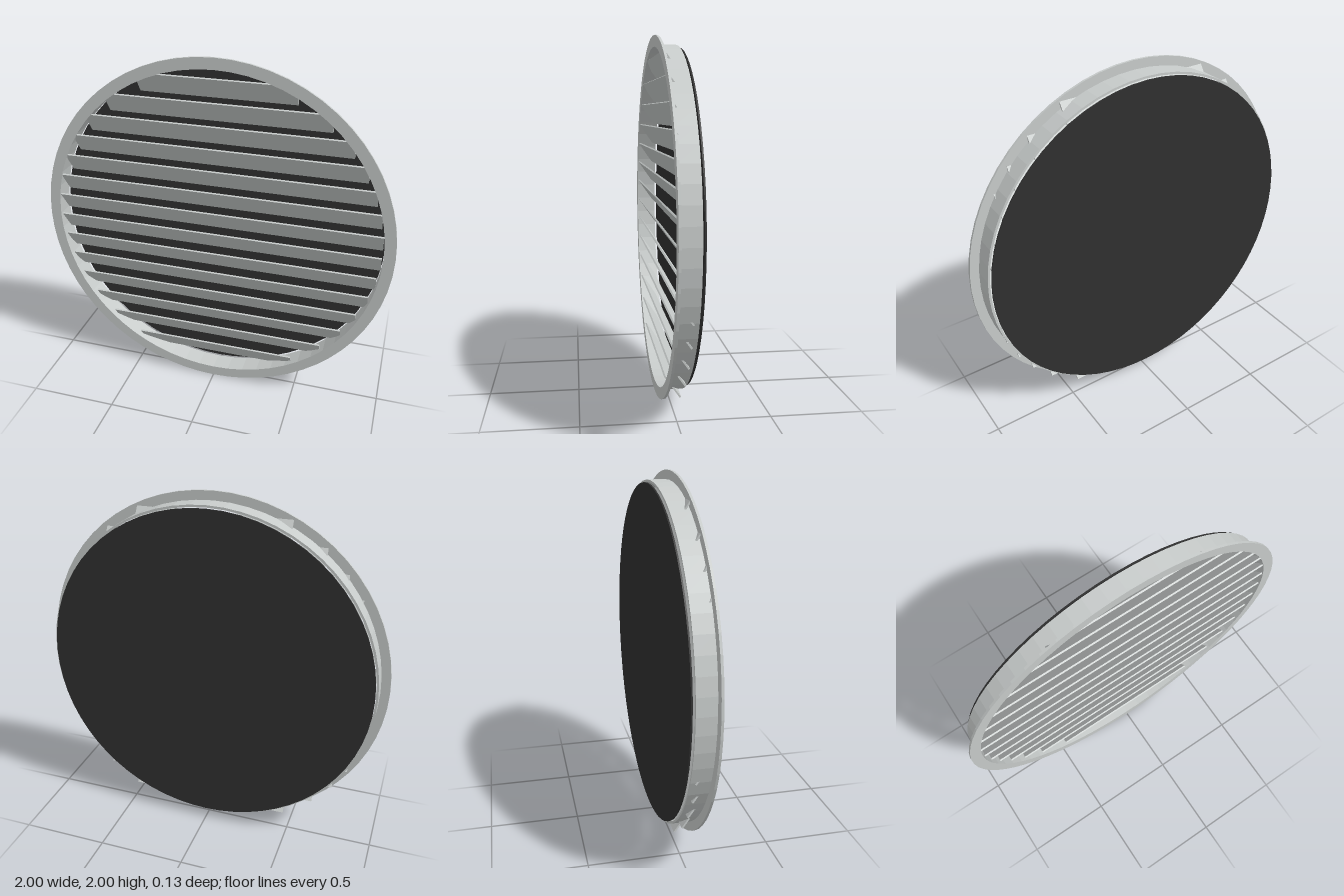
import * as THREE from 'three';

export function createModel() {
  const group = new THREE.Group();
  const aluminium = new THREE.MeshStandardMaterial({ color: 0xc8cccb });
  aluminium.name = 'aluminium';
  const blackMesh = new THREE.MeshStandardMaterial({ color: 0x303030 });
  blackMesh.name = 'black mesh';
  const centreY = 1;

  function add(name, geometry, material, y, z) {
    const mesh = new THREE.Mesh(geometry, material);
    mesh.name = name;
    mesh.position.set(0, y, z);
    group.add(mesh);
    return mesh;
  }

  // Flat ring extruded along z from z = 0 to depth
  function ring(outer, inner, depth) {
    const shape = new THREE.Shape().absarc(0, 0, outer, 0, Math.PI * 2);
    shape.holes.push(new THREE.Path().absarc(0, 0, inner, 0, Math.PI * 2, true));
    return new THREE.ExtrudeGeometry(shape, { depth, bevelEnabled: false, curveSegments: 32 });
  }

  // Front flange and the sleeve behind it
  add('flange', ring(1, 0.938, 0.013), aluminium, centreY, 0.054);
  add('sleeve', ring(0.95, 0.938, 0.103), aluminium, centreY, -0.049);

  // Backing disc, set just behind the sleeve
  const disc = new THREE.CylinderGeometry(0.936, 0.936, 0.008, 64).rotateX(Math.PI / 2);
  add('backingDisc', disc, blackMesh, centreY, -0.063);

  // Louvre slats: front edge high, back edge low, ends just poking through the sleeve
  const count = 14;
  const tilt = THREE.MathUtils.degToRad(35);
  for (let i = 0; i < count; i++) {
    const halfLength = Math.sqrt(0.93 ** 2 - (-0.8 + 0.1251 * i) ** 2);
    const slat = new THREE.BoxGeometry(halfLength * 2, 0.145, 0.009);
    add('slat' + (i + 1), slat, aluminium, 0.179 + 0.127 * i, 0.019).rotation.x = tilt;
  }

  return group;
}
